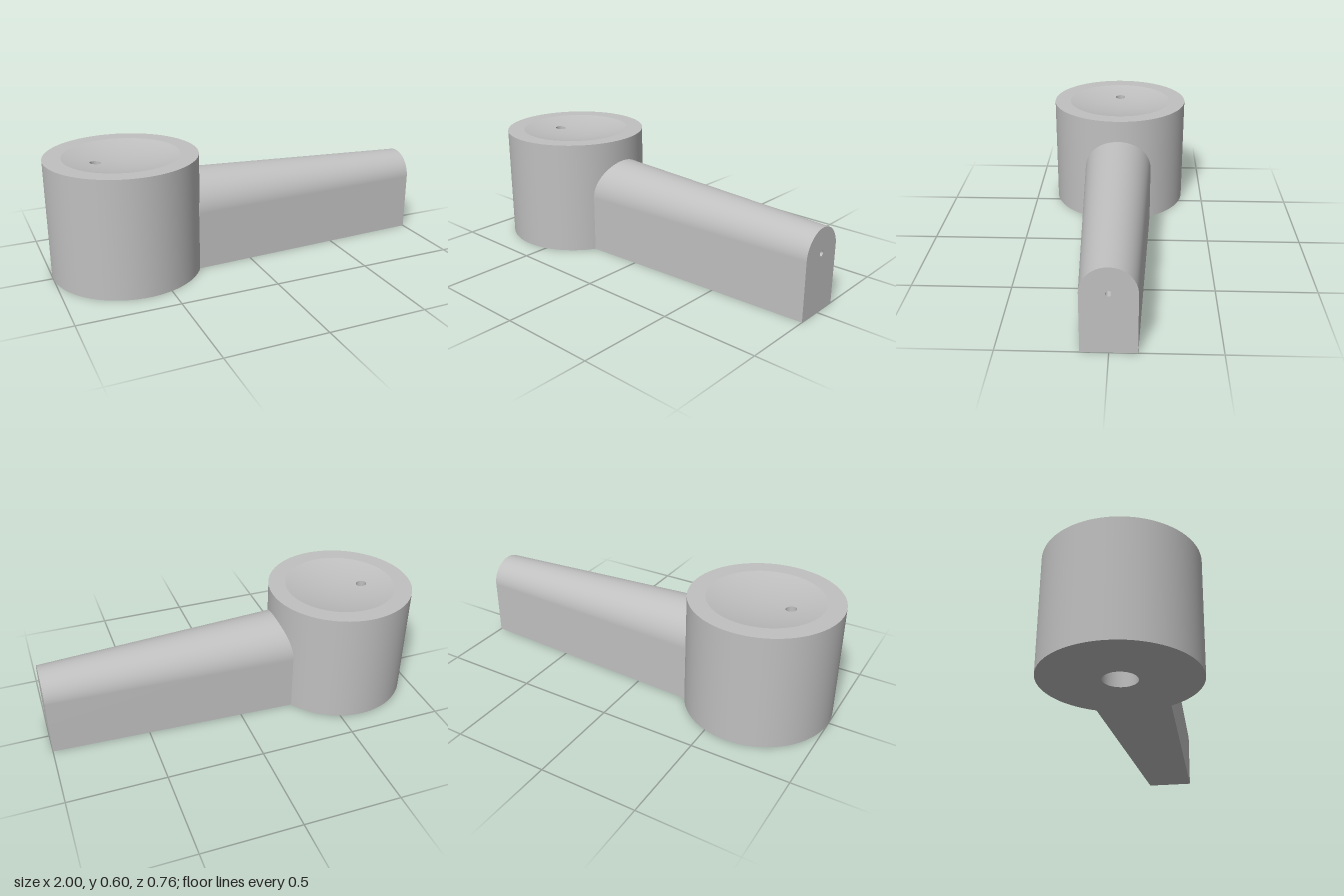
import * as THREE from 'three';

const R = 0.38, H = 0.6, CX = -0.62;        // round body
const AXIS = 0.3;                           // height of the stem's arch centre
const HOLE_X = -0.13, HOLE_R = 0.027;       // off-centre hole in the dish
const DISH_R = 0.29, DISH_DEPTH = 0.033;
const BORE_R = 0.083, BORE_DEPTH = 0.25;    // socket under the body
const END_R = 0.127, TAPER = 0.0444, PORT_R = 0.0135;

// Skin a list of rings (arrays of [x, y, z]) with smooth normals
function loft(rings, closed = false) {
  const n = rings[0].length, index = [];
  for (let i = 0; i < rings.length - 1; i++) {
    for (let j = 0; j < (closed ? n : n - 1); j++) {
      const k = (j + 1) % n;
      const a = i * n + j, b = a + n, c = i * n + k, d = c + n;
      index.push(a, c, b, b, c, d);
    }
  }
  const geo = new THREE.BufferGeometry();
  geo.setAttribute('position', new THREE.Float32BufferAttribute(rings.flat(2), 3));
  geo.setIndex(index);
  geo.computeVertexNormals();
  return geo;
}

// Half-width of the stem at x, and where a point at width w meets the body
const stemR = (x) => END_R + TAPER * (1 - x);
function meetBody(w) {
  let x = -0.26;
  for (let i = 0; i < 8; i++) x = CX - 0.003 + Math.sqrt(R * R - (w * stemR(x)) ** 2);
  return x;
}

// Profile points [w, base height, arch height] swept from the body to the end
function stemSkin(profile) {
  const ring = (xAt) => profile.map(([w, y, up]) => {
    const x = xAt(w);
    return [x, y + up * stemR(x), w * stemR(x)];
  });
  return loft([ring(meetBody), ring(() => 1)]);
}

export function createModel() {
  const grey = new THREE.MeshStandardMaterial({ color: 0xc0c0c0, side: THREE.DoubleSide });
  grey.name = 'grey';
  const model = new THREE.Group();
  const body = new THREE.Group();
  body.name = 'body';
  body.position.x = CX;
  const stem = new THREE.Group();
  stem.name = 'stem';
  model.add(body, stem);
  const add = (parent, name, geo) => {
    const mesh = new THREE.Mesh(geo, grey);
    mesh.name = name;
    parent.add(mesh);
  };

  // Body wall and underside with a round socket
  add(body, 'bodyWall', new THREE.CylinderGeometry(R, R, H, 96, 1, true).translate(0, H / 2, 0));
  add(body, 'bodyBottom', new THREE.RingGeometry(BORE_R, R, 96).rotateX(Math.PI / 2));
  add(body, 'socketWall',
    new THREE.CylinderGeometry(BORE_R, BORE_R, BORE_DEPTH, 48, 1, true).translate(0, BORE_DEPTH / 2, 0));
  add(body, 'socketEnd',
    new THREE.CircleGeometry(BORE_R, 48).rotateX(Math.PI / 2).translate(0, BORE_DEPTH, 0));

  // Shallow dish: circles growing from the off-centre hole to the dish edge
  const circle = (cx, r) => Array.from({ length: 96 }, (_, j) => {
    const a = (j / 96) * Math.PI * 2;
    const x = cx + r * Math.cos(a), z = r * Math.sin(a);
    const q = Math.min(1, (x * x + z * z) / DISH_R ** 2);
    return [x, H - DISH_DEPTH * (1 - q), z];
  });
  const rings = [];
  for (let i = 0; i <= 16; i++) {
    const t = i / 16;
    rings.push(circle(HOLE_X * (1 - t), HOLE_R + (DISH_R - HOLE_R) * t));
  }
  add(body, 'dish', loft(rings, true));
  add(body, 'rim', new THREE.RingGeometry(DISH_R, R, 96).rotateX(-Math.PI / 2).translate(0, H, 0));

  // Dish hole runs down to the stem's bore
  const low = circle(HOLE_X, HOLE_R).map(([x, , z]) => [x, AXIS - PORT_R, z]);
  add(body, 'dishHole', loft([low, circle(HOLE_X, HOLE_R)], true));

  // Tapered stem: straight sides under a half-round top
  const arch = [[-1, 0, 0]];
  for (let i = 0; i <= 48; i++) {
    const a = Math.PI * (1 - i / 48);
    arch.push([Math.cos(a), AXIS, Math.sin(a)]);
  }
  arch.push([1, 0, 0]);
  add(stem, 'stemShell', stemSkin(arch));
  add(stem, 'stemBottom', stemSkin(Array.from({ length: 25 }, (_, i) => [1 - i / 12, 0, 0])));

  // End face with the small port
  const face = new THREE.Shape();
  face.moveTo(-END_R, 0);
  face.lineTo(END_R, 0);
  face.lineTo(END_R, AXIS);
  face.absarc(0, AXIS, END_R, 0, Math.PI, false);
  face.closePath();
  face.holes.push(new THREE.Path().absarc(0, AXIS, PORT_R, 0, Math.PI * 2, true));
  add(stem, 'stemEnd', new THREE.ShapeGeometry(face, 24).rotateY(Math.PI / 2).translate(1, 0, 0));
  const len = 1 - (CX + HOLE_X);
  add(stem, 'stemBore',
    new THREE.CylinderGeometry(PORT_R, PORT_R, len, 24, 1, true)
      .rotateZ(Math.PI / 2).translate(1 - len / 2, AXIS, 0));

  return model;
}
